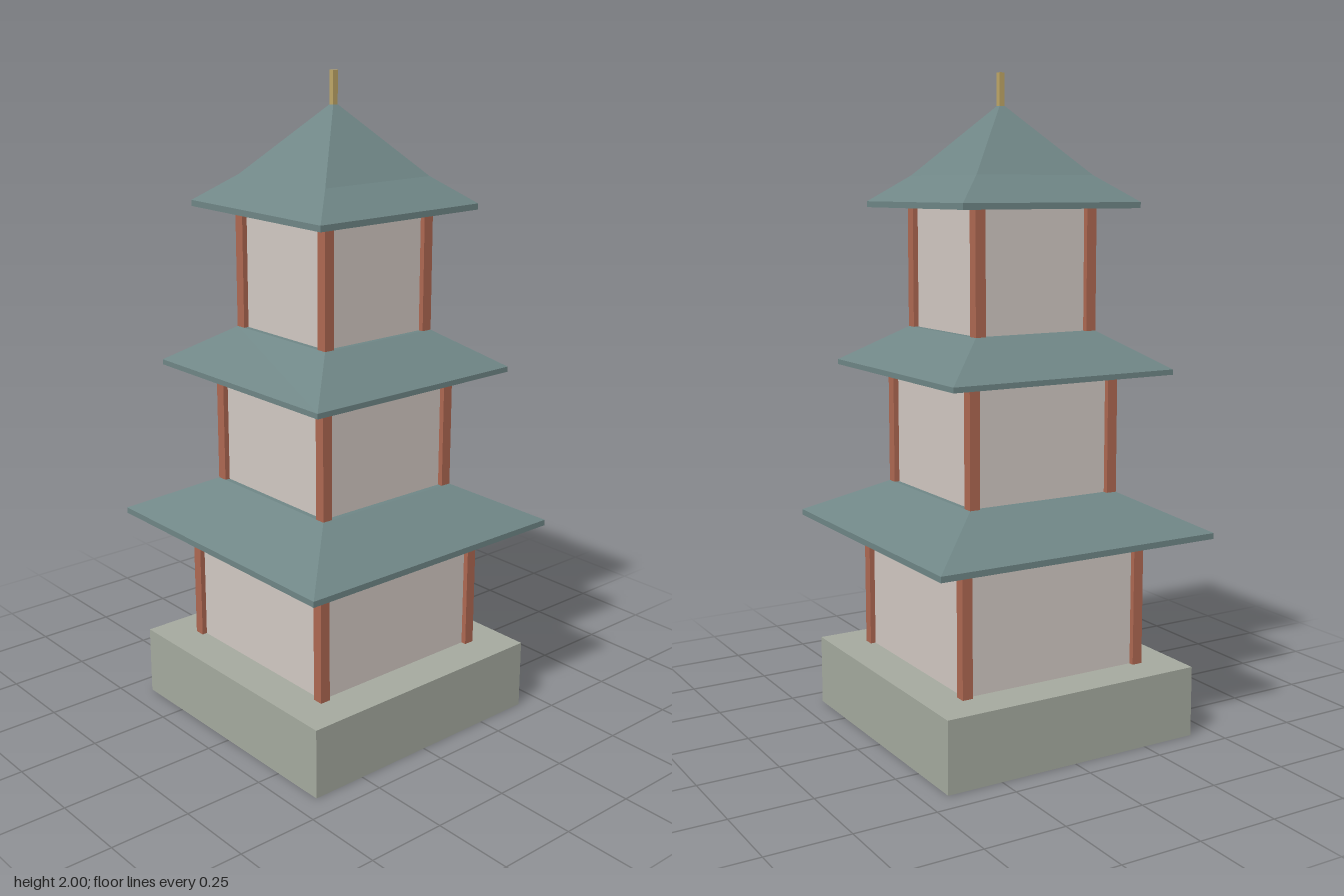
import * as THREE from 'three';

const mat = (color) => new THREE.MeshStandardMaterial({ color, flatShading: true });

export function createModel() {
  const model = new THREE.Group();
  model.name = 'pagoda';
  const stone = mat(0xa5aa9f), plaster = mat(0xd2c9c3), timber = mat(0xae6852);
  const tile = mat(0x6f8686), gold = mat(0xbfa767);

  // Square block from its half width and its bottom and top heights
  function block(name, half, y0, y1, material, x = 0, z = 0) {
    const mesh = new THREE.Mesh(new THREE.BoxGeometry(half * 2, y1 - y0, half * 2), material);
    mesh.name = name;
    mesh.position.set(x, (y0 + y1) / 2, z);
    return mesh;
  }

  // Four-sided roof from a profile of [half width, height], bottom to top
  function roof(profile) {
    const points = profile.map(([h, y]) => new THREE.Vector2(h * Math.SQRT2, y));
    const geometry = new THREE.LatheGeometry(points, 4, Math.PI / 4).toNonIndexed();
    geometry.computeVertexNormals();
    const mesh = new THREE.Mesh(geometry, tile);
    mesh.name = 'roof';
    return mesh;
  }

  model.add(block('base', 0.425, 0, 0.218, stone));

  // Storeys: post centre, floor and ceiling heights, roof profile
  const post = 0.0165;
  const storeys = [
    { half: 0.299, y0: 0.218, y1: 0.63,
      roof: [[0, 0.623], [0.465, 0.623], [0.465, 0.641], [0.254, 0.752], [0, 0.752]] },
    { half: 0.238, y0: 0.752, y1: 1.12,
      roof: [[0, 1.115], [0.372, 1.115], [0.372, 1.131], [0.206, 1.241], [0, 1.241]] },
    { half: 0.19, y0: 1.241, y1: 1.61,
      roof: [[0, 1.604], [0.299, 1.604], [0.299, 1.622], [0.198, 1.7], [0, 1.912]] },
  ];
  storeys.forEach((s, i) => {
    const storey = new THREE.Group();
    storey.name = `storey${i + 1}`;
    storey.add(block('walls', s.half, s.y0, s.y1, plaster));
    for (const x of [-1, 1]) for (const z of [-1, 1])
      storey.add(block('cornerPost', post, s.y0, s.y1, timber, x * s.half, z * s.half));
    storey.add(roof(s.roof));
    model.add(storey);
  });

  // Finial on the peak
  model.add(block('finial', 0.0085, 1.89, 2, gold));
  return model;
}
